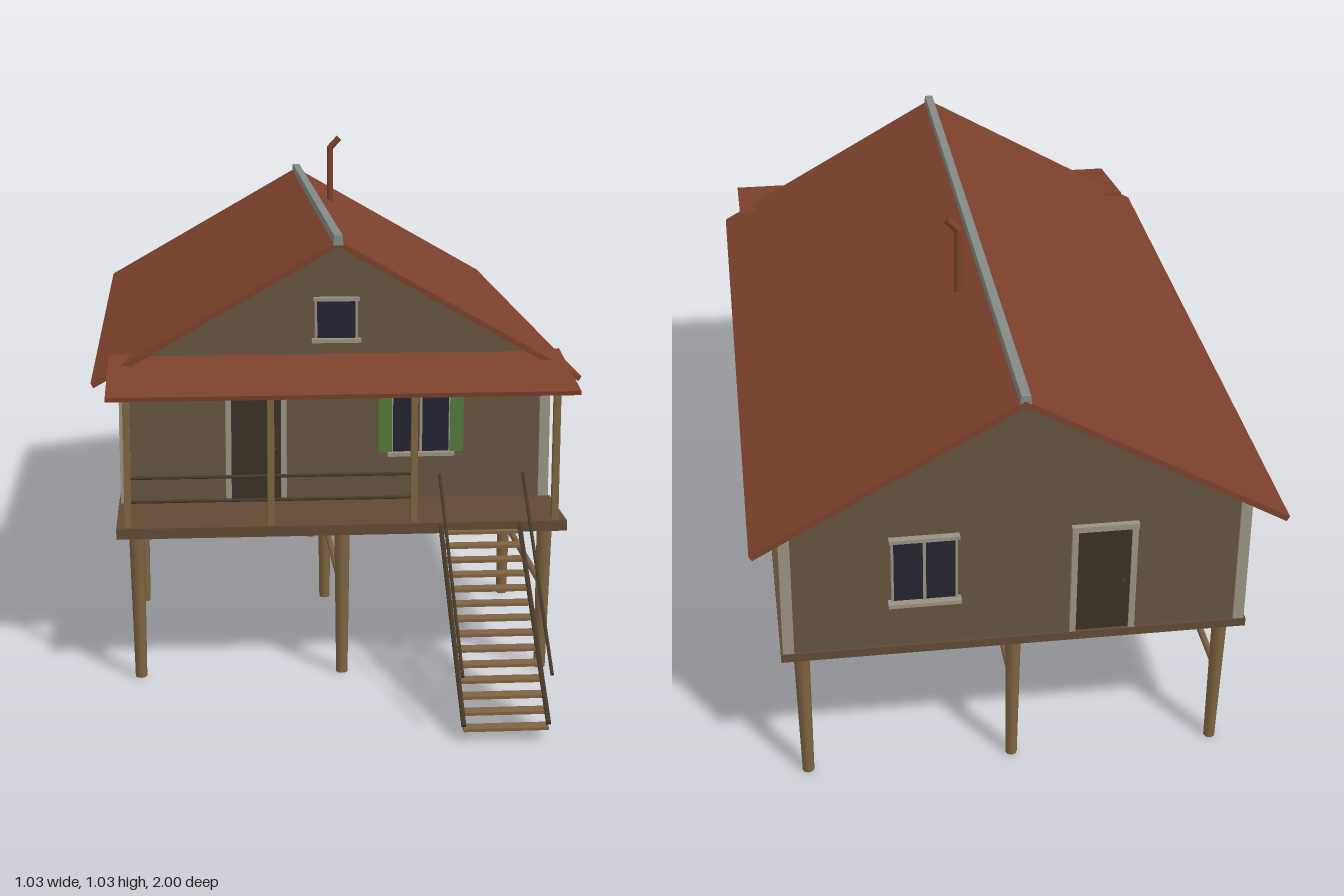
import * as THREE from 'three';

const mat = (name, color, extra = {}) => Object.assign(new THREE.MeshStandardMaterial({ color, ...extra }), { name });

export function createModel() {
  const M = {
    wall: mat('wall brown', 0x65543f),
    roof: mat('roof rust', 0x7c412c),
    wood: mat('light wood', 0x7e6341),
    dark: mat('dark wood', 0x493b2b),
    deck: mat('deck brown', 0x624a34),
    trim: mat('trim grey', 0x999282),
    ridge: mat('ridge grey', 0x838a85),
    glass: mat('window glass', 0x242432),
    green: mat('shutter green', 0x527838),
    door: mat('door brown', 0x3a3125),
  };
  const house = new THREE.Group();
  house.name = 'stiltHouse';

  const add = (parent, name, geo, material, x = 0, y = 0, z = 0) => {
    const m = new THREE.Mesh(geo, material);
    m.name = name;
    m.position.set(x, y, z);
    parent.add(m);
    return m;
  };
  const box = (parent, name, material, w, h, d, x, y, z) =>
    add(parent, name, new THREE.BoxGeometry(w, h, d), material, x, y, z);
  // Straight bar between two points, square or round
  const bar = (name, material, a, b, r, sides = 4, rEnd = r) => {
    const p = new THREE.Vector3(...a), q = new THREE.Vector3(...b);
    const dir = q.clone().sub(p);
    const geo = new THREE.CylinderGeometry(rEnd, r, dir.length(), sides);
    if (sides === 4) geo.rotateY(Math.PI / 4);
    const m = add(house, name, geo, material);
    m.position.copy(p).add(q).multiplyScalar(0.5);
    m.quaternion.setFromUnitVectors(new THREE.Vector3(0, 1, 0), dir.normalize());
    return m;
  };
  // Profile in x and y, extruded from z0 to z1
  const prism = (name, material, pts, z0, z1) => {
    const shape = new THREE.Shape(pts.map(([x, y]) => new THREE.Vector2(x, y)));
    const geo = new THREE.ExtrudeGeometry(shape, { depth: z1 - z0, bevelEnabled: false });
    return add(house, name, geo, material, 0, 0, z0);
  };

  // Walls with gables, and floor
  const W = 0.45, ZF = 0.434, ZB = -0.935;
  prism('walls', M.wall, [[-W, 0.32], [W, 0.32], [W, 0.622], [0, 0.88], [-W, 0.622]], ZB, ZF);
  box(house, 'floor', M.deck, 0.93, 0.018, ZF - ZB + 0.012, 0, 0.316, (ZF + ZB) / 2);
  box(house, 'porchDeck', M.deck, 0.93, 0.014, 0.2, 0, 0.322, 0.534);
  box(house, 'porchEdgeBeam', M.deck, 0.93, 0.022, 0.012, 0, 0.318, 0.628);

  // Corner trims
  for (const x of [-W, W]) for (const z of [ZF - 0.007, ZB + 0.007])
    box(house, 'cornerTrim', M.trim, 0.022, 0.285, 0.024, x, 0.468, z);

  // Main roof, ridge cap and porch roof
  prism('mainRoof', M.roof, [
    [-0.517, 0.603], [-0.511, 0.593], [0, 0.884], [0.511, 0.593], [0.517, 0.603], [0, 0.898],
  ], -1, 0.49);
  prism('ridgeCap', M.ridge, [
    [-0.011, 0.888], [0.011, 0.888], [0.009, 0.909], [-0.009, 0.909],
  ], -1, 0.492);
  const porchRoof = box(house, 'porchRoof', M.roof, 0.962, 0.009, 0.25, 0, 0.626, 0.543);
  porchRoof.rotation.x = Math.atan(0.04 / 0.245);

  // Bent stove pipe
  bar('stovePipe', M.roof, [0.056, 0.85, -0.48], [0.056, 1.003, -0.48], 0.008, 10);
  bar('stovePipeBend', M.roof, [0.054, 0.999, -0.48], [0.079, 1.026, -0.48], 0.008, 10);

  // Stilts and the long braces between them
  const stiltZ = [0.6, 0.098, -0.4, -0.9];
  for (const x of [-0.42, 0, 0.42]) {
    for (const z of stiltZ) bar('stilt', M.wood, [x, 0, z], [x + Math.sign(x) * 0.004, 0.31, z], 0.012, 8, 0.016);
    bar('stiltBrace', M.wood, [x, 0.182, -0.9], [x, 0.182, 0.6], 0.007, 6);
  }

  // Porch posts and railing
  for (const x of [-0.441, -0.148, 0.147, 0.441])
    box(house, 'porchPost', M.wood, 0.014, 0.285, 0.014, x, 0.469, 0.62);
  for (const y of [0.382, 0.432])
    bar('porchRail', M.dark, [-0.441, y, 0.62], [0.147, y, 0.62], 0.0035, 6);

  // Stairs with stringers and handrails
  const stairX = 0.284, steps = 14;
  for (let i = 0; i < steps; i++) {
    const t = i / (steps - 1);
    box(house, 'stairTread', M.wood, 0.164, 0.006, 0.028, stairX, 0.022 + t * 0.288, 0.986 - t * 0.352);
  }
  for (const s of [-1, 1]) {
    bar('stairStringer', M.dark, [stairX + s * 0.082, 0.03, 0.995], [stairX + s * 0.082, 0.322, 0.63], 0.006);
    bar('stairHandrail', M.dark, [stairX + s * 0.086, 0.13, 0.998], [stairX + s * 0.086, 0.433, 0.635], 0.0035, 6);
  }

  // Wall openings face +z locally and are turned onto each wall
  const place = (name, x, y, z, turn) => {
    const g = new THREE.Group();
    g.name = name;
    g.position.set(x, y, z);
    g.rotation.y = turn;
    house.add(g);
    return g;
  };
  const addWindow = (x, y, z, turn, w, h, shutters, mullion = true) => {
    const g = place('window', x, y, z, turn);
    box(g, 'glass', M.glass, w, h, 0.006, 0, 0, 0.002);
    box(g, 'headTrim', M.trim, w + 0.012, 0.008, 0.016, 0, h / 2, 0.006);
    box(g, 'sill', M.trim, w + 0.018, 0.008, 0.024, 0, -h / 2, 0.008);
    if (mullion) box(g, 'mullion', M.trim, 0.006, h, 0.008, 0, 0, 0.004);
    for (const s of [-1, 1]) {
      box(g, 'sideTrim', M.trim, 0.005, h, 0.009, s * w / 2, 0, 0.004);
      if (shutters) box(g, 'shutter', M.green, 0.029, h - 0.008, 0.009, s * (w / 2 + 0.0145), 0, 0.006);
    }
  };
  const addDoor = (x, z, turn) => {
    const g = place('door', x, 0.448, z, turn);
    box(g, 'doorPanel', M.door, 0.106, 0.238, 0.006, 0, 0, 0.002);
    box(g, 'doorHeadTrim', M.trim, 0.132, 0.012, 0.014, 0, 0.122, 0.005);
    for (const s of [-1, 1]) box(g, 'doorSideTrim', M.trim, 0.012, 0.24, 0.01, s * 0.059, 0, 0.004);
    add(g, 'doorKnob', new THREE.SphereGeometry(0.004, 8, 6), M.dark, 0.04, -0.005, 0.009);
  };

  addDoor(-0.171, ZF, 0);
  addDoor(-0.171, ZB, Math.PI);
  addWindow(0.182, 0.502, ZF, 0, 0.125, 0.145, true);
  addWindow(0.182, 0.502, ZB, Math.PI, 0.125, 0.145, false);
  addWindow(0, 0.723, ZF, 0, 0.086, 0.088, false, false);
  for (const s of [-1, 1]) for (const z of [0.14, -0.25, -0.645])
    addWindow(s * W, 0.502, z, s * Math.PI / 2, 0.125, 0.145, true);

  return house;
}
